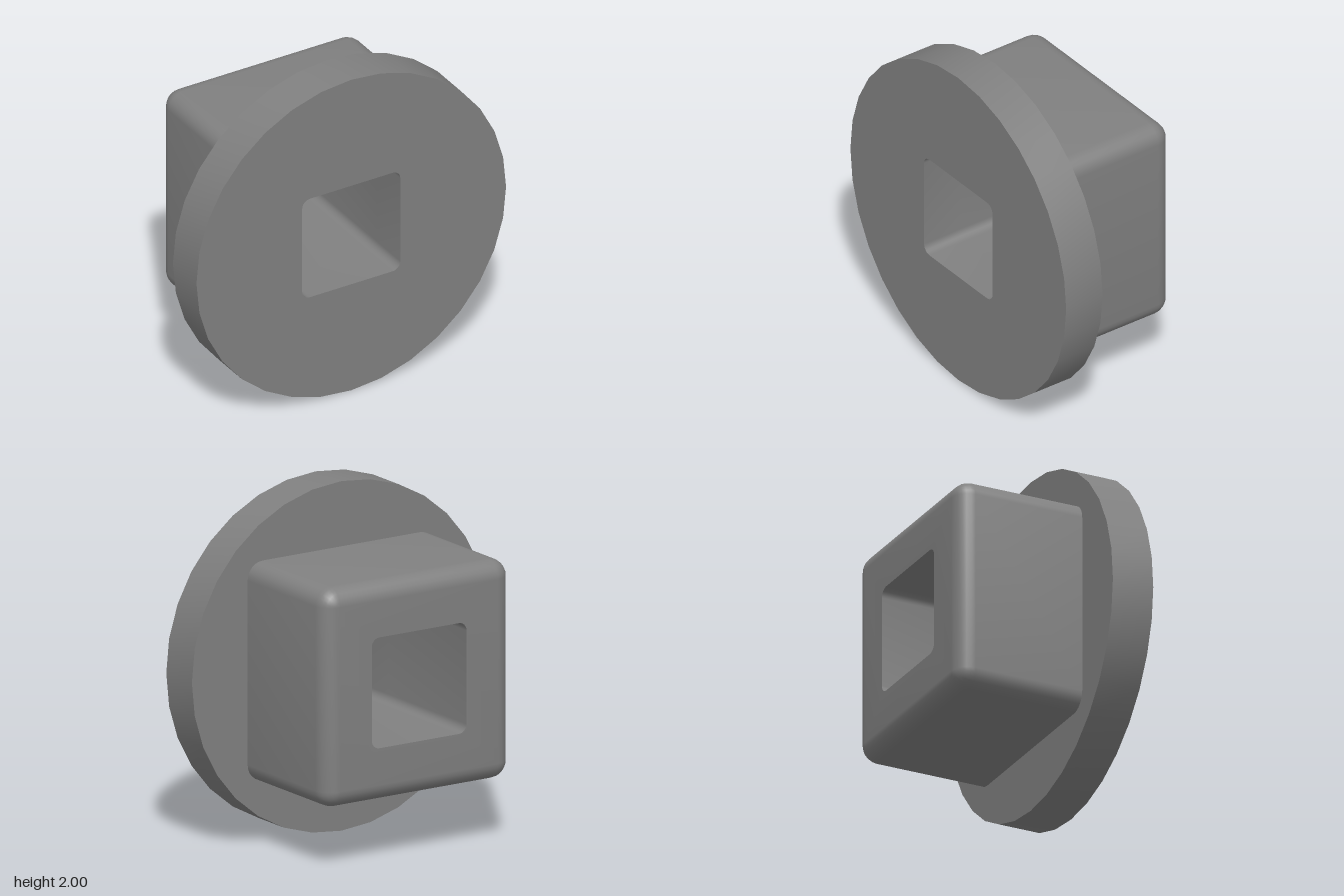
import * as THREE from 'three';
import { toCreasedNormals } from 'three/addons/utils/BufferGeometryUtils.js';

const CREASE = Math.PI / 5;
const BORE = { half: 0.317, radius: 0.05 };
const FRONT = 0.505, SEAM = 0.255, BACK = -0.505;
const STEPS = 6;

// Counter-clockwise outline of a rounded square
function roundedSquare(half, radius) {
  const points = [];
  for (let corner = 0; corner < 4; corner++) {
    const mid = Math.PI / 4 + corner * Math.PI / 2;
    const cx = Math.sign(Math.cos(mid)) * (half - radius);
    const cy = Math.sign(Math.sin(mid)) * (half - radius);
    for (let i = 0; i <= STEPS; i++) {
      const a = (corner + i / STEPS) * Math.PI / 2;
      points.push(new THREE.Vector2(cx + radius * Math.cos(a), cy + radius * Math.sin(a)));
    }
  }
  return points;
}

// Skin joining rounded squares given as [half, radius, z]
function loft(sections) {
  const positions = [], index = [];
  const n = 4 * (STEPS + 1);
  sections.forEach(([half, radius, z], s) => {
    roundedSquare(half, radius).forEach((p, j) => {
      positions.push(p.x, p.y, z);
      if (s === sections.length - 1) return;
      const a = s * n + j, b = s * n + (j + 1) % n;
      index.push(a, a + n, b, b, a + n, b + n);
    });
  });
  const geometry = new THREE.BufferGeometry();
  geometry.setAttribute('position', new THREE.Float32BufferAttribute(positions, 3));
  geometry.setIndex(index);
  return toCreasedNormals(geometry, CREASE);
}

export function createModel() {
  const group = new THREE.Group();
  const material = new THREE.MeshStandardMaterial({ color: 0x808080 });
  const add = (name, geometry) => {
    const mesh = new THREE.Mesh(geometry, material);
    mesh.name = name;
    mesh.position.y = 1;
    group.add(mesh);
  };

  // Round flange, 32 sides, pierced by the square bore
  const outline = [];
  for (let i = 0; i < 32; i++) {
    const a = i * Math.PI / 16;
    outline.push(new THREE.Vector2(Math.cos(a), Math.sin(a)));
  }
  const disc = new THREE.Shape(outline);
  disc.holes.push(new THREE.Path(roundedSquare(BORE.half, BORE.radius).reverse()));
  const flange = new THREE.ExtrudeGeometry(disc, { depth: FRONT - SEAM, bevelEnabled: false });
  flange.translate(0, 0, SEAM);
  add('flange', toCreasedNormals(flange, CREASE));

  // Square block: sides, rounded back edge, back face, then the bore walls
  const half = 0.627, r = 0.1;
  const sections = [[half, r, SEAM]];
  for (let i = 0; i <= STEPS; i++) {
    const a = i / STEPS * Math.PI / 2;
    const inset = r * (1 - Math.cos(a));
    sections.push([half - inset, r - inset, BACK + r * (1 - Math.sin(a))]);
  }
  sections.push([BORE.half, BORE.radius, BACK], [BORE.half, BORE.radius, SEAM]);
  add('block', loft(sections));

  return group;
}
